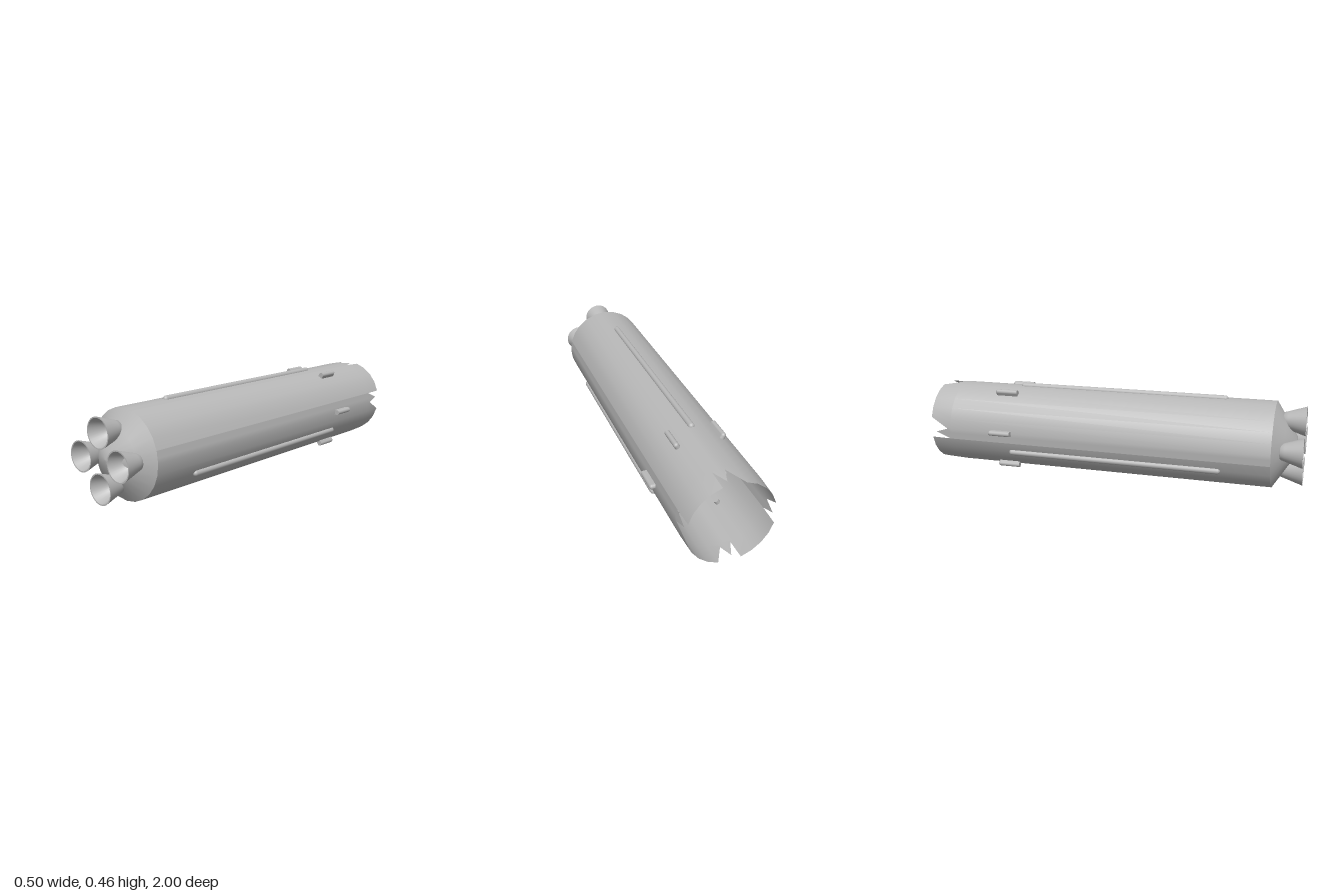
import * as THREE from 'three';

const R = 0.222, CY = 0.225, SIDES = 24;
const grey = new THREE.MeshStandardMaterial({ color: 0xb8b8b8, side: THREE.DoubleSide });
grey.name = 'plain grey';

function add(parent, name, geometry, x = 0, y = 0, z = 0) {
  const mesh = new THREE.Mesh(geometry, grey);
  mesh.name = name;
  mesh.position.set(x, y, z);
  parent.add(mesh);
  return mesh;
}

// Lathe about the z axis from [radius, z] pairs
function latheZ(points, sides) {
  return new THREE.LatheGeometry(points.map(p => new THREE.Vector2(p[0], p[1])), sides).rotateX(Math.PI / 2);
}

// Open tube with four jagged notches in the rear rim
function hullGeometry() {
  const step = 360 / SIDES;
  const columns = []; // [angle in degrees, rim z]
  const notch = [[-15, -1], [0, -0.9], [6, -0.972], [14.8, -0.89], [15, -1]];
  for (let q = 0; q < 4; q++) {
    const flip = q % 2 ? -1 : 1;
    const cut = notch.map(([a, z]) => [q * 90 + a * flip, z]);
    if (flip < 0) cut.reverse();
    columns.push(...cut);
    for (let k = 2; k < 5; k++) columns.push([q * 90 + k * step, -1]);
  }
  const pos = [], index = [], n = columns.length;
  for (const [deg, rim] of columns) {
    // Keep extra columns on the flat sides of the polygon
    const local = ((deg % step) + step) % step - step / 2;
    const chord = Math.cos(Math.PI / SIDES) / Math.cos(THREE.MathUtils.degToRad(local));
    const a = THREE.MathUtils.degToRad(deg);
    for (const z of [0.85, -0.88, rim]) {
      const r = (R - 0.005 * Math.max(0, (-0.88 - z) / 0.12)) * chord;
      pos.push(r * Math.cos(a), r * Math.sin(a), z);
    }
  }
  for (let i = 0; i < n; i++) {
    const j = (i + 1) % n;
    for (let k = 0; k < 2; k++) {
      const a = i * 3 + k, b = j * 3 + k;
      index.push(a, a + 1, b, b, a + 1, b + 1);
    }
  }
  const g = new THREE.BufferGeometry();
  g.setAttribute('position', new THREE.Float32BufferAttribute(pos, 3));
  g.setIndex(index);
  g.computeVertexNormals();
  return g;
}

// Engine bell: outer skin, lip and inner skin
function makeNozzle() {
  const nozzle = new THREE.Group();
  nozzle.name = 'engineNozzle';
  add(nozzle, 'nozzleOuter', latheZ([[0.001, 0.88], [0.03, 0.882], [0.04, 0.89], [0.046, 0.91], [0.059, 0.95], [0.075, 1]], 32));
  add(nozzle, 'nozzleLip', latheZ([[0.075, 1], [0.069, 1]], 32));
  add(nozzle, 'nozzleInner', latheZ([[0.069, 1], [0.053, 0.95], [0.035, 0.92], [0.015, 0.9], [0.001, 0.895]], 32));
  return nozzle;
}

// Short pod: flat front, rounded outer edge and rear
function makePod() {
  const pod = new THREE.Group(), w = 0.0135, c = 0.236;
  pod.name = 'sidePod';
  const front = -0.52, back = -0.632, len = front - back, mid = (front + back) / 2;
  add(pod, 'podRound', new THREE.CylinderGeometry(w, w, len, 16).rotateX(Math.PI / 2), c, 0, mid);
  add(pod, 'podBase', new THREE.BoxGeometry(0.036, 2 * w, len), c - 0.018, 0, mid);
  add(pod, 'podRearTip', new THREE.SphereGeometry(w, 16, 10), c, 0, back);
  add(pod, 'podRearEdge', new THREE.CylinderGeometry(w, w, 0.036, 16).rotateZ(Math.PI / 2), c - 0.018, 0, back);
  return pod;
}

export function createModel() {
  const model = new THREE.Group();
  model.name = 'boosterStage';
  const body = new THREE.Group();
  body.name = 'body';
  body.position.y = CY;
  model.add(body);

  add(body, 'hull', hullGeometry());
  add(body, 'engineCone', latheZ([[R, 0.85], [0.136, 0.905], [0.05, 0.96], [0, 0.966]], SIDES));

  // Four engines around the cone
  for (let i = 0; i < 4; i++) {
    const a = i * Math.PI / 2, nozzle = makeNozzle();
    nozzle.position.set(0.13 * Math.cos(a), 0.13 * Math.sin(a), 0);
    body.add(nozzle);
  }

  // Six pods near the rear
  for (let i = 0; i < 6; i++) {
    const pod = makePod();
    pod.rotation.z = i * Math.PI / 3;
    body.add(pod);
  }

  // Three long rails
  for (let i = 0; i < 3; i++) {
    const a = Math.PI / 2 + i * Math.PI * 2 / 3;
    const rail = new THREE.CapsuleGeometry(0.016, 1.118, 6, 16).rotateX(Math.PI / 2);
    add(body, 'longRail', rail, 0.221 * Math.cos(a), 0.221 * Math.sin(a), 0.03);
  }
  return model;
}
